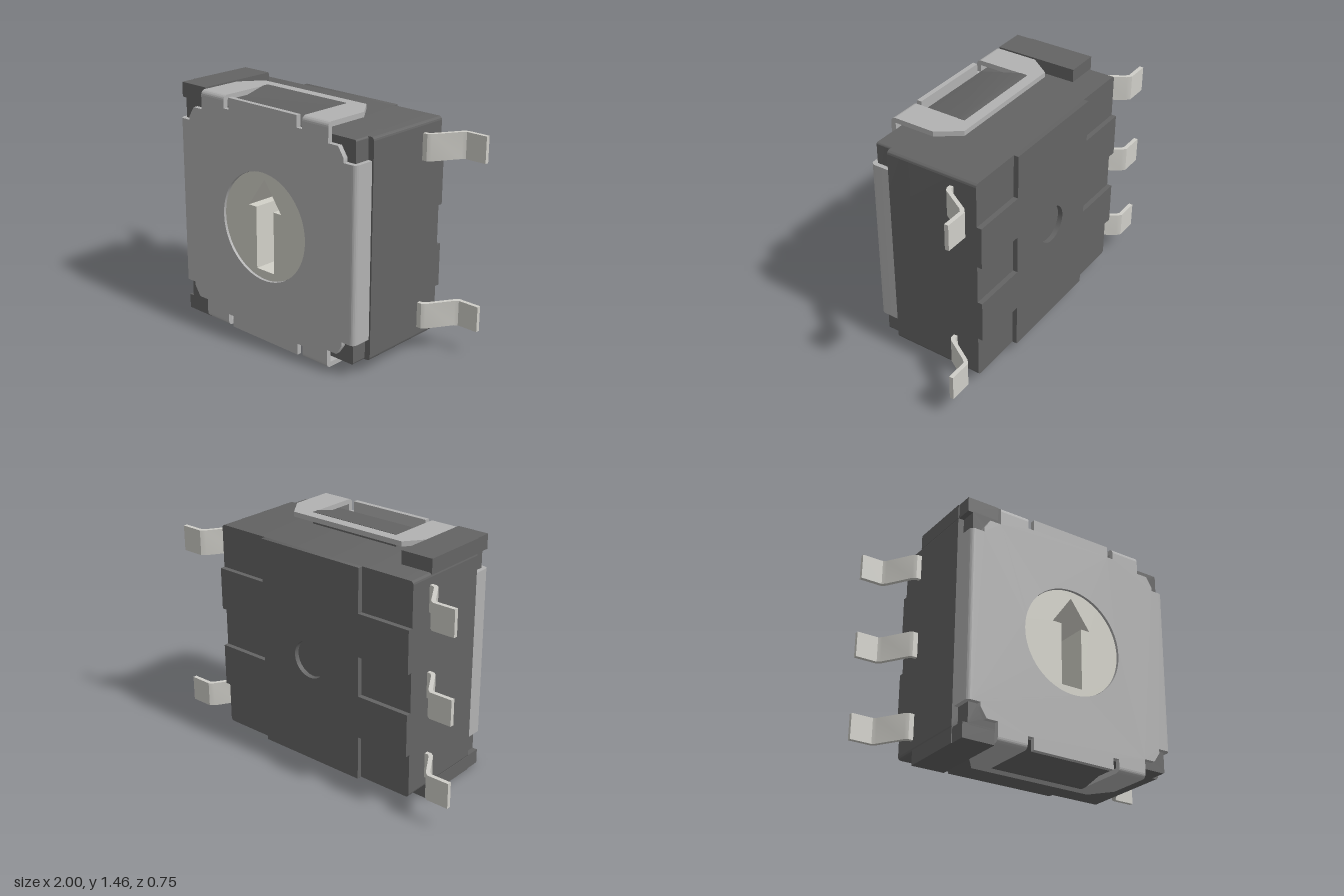
import * as THREE from 'three';
import { toCreasedNormals } from 'three/addons/utils/BufferGeometryUtils.js';

const CY = 0.73; // height of the rotor axis; every part is modelled around it
const mat = (color) => new THREE.MeshStandardMaterial({ color });
const X = new THREE.Vector3(1, 0, 0), Y = new THREE.Vector3(0, 1, 0), Z = new THREE.Vector3(0, 0, 1);
const shapeOf = (pts) => new THREE.Shape(pts.map(([a, b]) => new THREE.Vector2(a, b)));

// Extrudes a shape along +z, then maps its local axes onto the given ones
function extrude(name, shape, depth, material, axes = [X, Y, Z], pos = [0, 0, 0]) {
  const raw = new THREE.ExtrudeGeometry(shape, { depth, bevelEnabled: false, curveSegments: 32 });
  raw.applyMatrix4(new THREE.Matrix4().makeBasis(...axes));
  const mesh = new THREE.Mesh(toCreasedNormals(raw, 0.6), material);
  mesh.name = name;
  mesh.position.set(...pos);
  return mesh;
}

// Box from its limits
function box(name, x0, x1, y0, y1, z0, z1, material) {
  const mesh = new THREE.Mesh(new THREE.BoxGeometry(x1 - x0, y1 - y0, z1 - z0), material);
  mesh.name = name;
  mesh.position.set((x0 + x1) / 2, (y0 + y1) / 2, (z0 + z1) / 2);
  return mesh;
}

// Rectangle with small rounded corners, optionally with a round hole
function roundedRect(w, h, r, hole = 0) {
  const s = new THREE.Shape();
  s.absarc(w - r, h - r, r, 0, Math.PI / 2);
  s.absarc(-w + r, h - r, r, Math.PI / 2, Math.PI);
  s.absarc(-w + r, -h + r, r, Math.PI, Math.PI * 1.5);
  s.absarc(w - r, -h + r, r, Math.PI * 1.5, Math.PI * 2);
  if (hole) s.holes.push(new THREE.Path().absarc(0, 0, hole, 0, Math.PI * 2, true));
  return s;
}

// Folded sheet edge: a quarter-round bend followed by a straight leg back to z = back
function bend(back) {
  const s = new THREE.Shape();
  s.moveTo(0, 0.375);
  s.absarc(0, 0.345, 0.03, Math.PI / 2, 0, true);
  s.lineTo(0.03, back);
  s.lineTo(0, back);
  return s;
}

function createBody(dark) {
  const g = new THREE.Group();
  g.name = 'housing';
  const downY = Y.clone().negate();
  g.add(extrude('housingCore', roundedRect(0.705, 0.65, 0.02), 0.435, dark, undefined, [0, 0, -0.335]));
  g.add(extrude('housingSocket', roundedRect(0.705, 0.65, 0.02, 0.33), 0.145, dark, undefined, [0, 0, 0.1]));
  g.add(extrude('housingFront', roundedRect(0.668, 0.65, 0.01, 0.33), 0.1, dark, undefined, [0, 0, 0.245]));
  // Raised back: centre strip with a round dimple, and pads between the pockets
  g.add(extrude('backStrip', roundedRect(0.36, 0.65, 0.002, 0.115), 0.03, dark, undefined, [0, 0, -0.365]));
  for (const sx of [-1, 1]) {
    for (const y of [0.255, -0.2475]) {
      const [a, b] = [0.36 * sx, 0.705 * sx].sort((p, q) => p - q);
      g.add(box('backPad', a, b, y - 0.13, y + 0.13, -0.365, -0.335, dark));
    }
  }
  for (const sy of [-1, 1]) {
    // Corner posts on one side
    const [a, b] = [0.64 * sy, 0.73 * sy].sort((p, q) => p - q);
    g.add(box('cornerPost', -0.705, -0.5, a, b, -0.175, 0.245, dark));
    g.add(box('cornerPostFront', -0.7, -0.5, a, b, 0.245, 0.345, dark));
    // Ramped catch that snaps into the cover window
    const catchShape = shapeOf([[0.65, 0.345], [0.65, 0.02], [0.722, 0.02], [0.722, 0.06]]);
    const half = new THREE.Group();
    half.name = 'catch';
    half.add(extrude('catchRamp', catchShape, 0.62, dark, [Y, Z, X], [-0.31, 0, 0]));
    if (sy < 0) half.rotation.z = Math.PI;
    g.add(half);
  }
  return g;
}

function createCover(metal) {
  const g = new THREE.Group();
  g.name = 'cover';
  // One quarter of the plate outline, mirrored into the rest
  const q = [[0.665, 0.52], [0.61, 0.52], [0.61, 0.545], [0.57, 0.605], [0.5, 0.605],
    [0.5, 0.69], [0.31, 0.69], [0.31, 0.645], [0.27, 0.645], [0.27, 0.715]];
  const flip = (sx, sy) => q.map(([x, y]) => [x * sx, y * sy]);
  const plate = shapeOf([...q, ...flip(-1, 1).reverse(), ...flip(-1, -1), ...flip(1, -1).reverse()]);
  plate.holes.push(new THREE.Path().absarc(0, 0, 0.33, 0, Math.PI * 2, true));
  g.add(extrude('coverPlate', plate, 0.03, metal, undefined, [0, 0, 0.345]));

  const down = Y.clone().negate();
  for (const turn of [0, Math.PI]) {
    const half = new THREE.Group();
    half.name = 'coverFolds';
    half.rotation.z = turn;
    half.add(extrude('sideFlange', bend(0.245), 1.04, metal, [X, Z, down], [0.665, 0.52, 0]));
    for (const x of [-0.5, 0.31])
      half.add(extrude('clipBend', bend(0.345), 0.19, metal, [Y, Z, X], [x, 0.69, 0]));
    // Clip frame with an open window for the catch
    const clip = shapeOf([[0.5, 0.345], [0.5, 0.09], [0.4, -0.045], [-0.4, -0.045], [-0.5, 0.09],
      [-0.5, 0.345], [-0.31, 0.345], [-0.31, 0.02], [0.31, 0.02], [0.31, 0.345]]);
    half.add(extrude('clipFrame', clip, 0.03, metal, [X, Z, down], [0, 0.72, 0]));
    g.add(half);
  }
  return g;
}

function createRotor(ivory) {
  const g = new THREE.Group();
  g.name = 'rotor';
  // Disc with a deep arrow-shaped driver slot
  const disc = new THREE.Shape().absarc(0, 0, 0.328, 0, Math.PI * 2);
  disc.holes.push(shapeOf([[0, 0.285], [-0.13, 0.105], [-0.07, 0.105], [-0.07, -0.275],
    [0.07, -0.275], [0.07, 0.105], [0.13, 0.105]]));
  g.add(extrude('rotorDisc', disc, 0.25, ivory, undefined, [0, 0, 0.11]));
  const floor = new THREE.Mesh(new THREE.CircleGeometry(0.328, 48), ivory);
  floor.name = 'slotFloor';
  floor.position.z = 0.112;
  g.add(floor);
  return g;
}

// Gull-wing lead: leaves the side, slopes back, ends in a flat foot
function createLead(metal, side, y) {
  const g = new THREE.Group();
  g.name = 'lead';
  const profile = shapeOf([[0.69, -0.192], [0.69, -0.168], [0.735, -0.168], [0.755, -0.182], [0.85, -0.335],
    [0.868, -0.35], [1, -0.35], [1, -0.375], [0.86, -0.375], [0.835, -0.355], [0.742, -0.205], [0.725, -0.192]]);
  g.add(extrude('leadStrip', profile, 0.156, metal, [X, Z, Y.clone().negate()], [0, 0.078, 0]));
  g.position.y = y;
  if (side < 0) g.rotation.z = Math.PI;
  return g;
}

export function createModel() {
  const model = new THREE.Group();
  model.name = 'rotarySwitch';
  const parts = new THREE.Group();
  parts.name = 'switchParts';
  parts.position.y = CY;
  model.add(parts);

  const tin = mat(0xcfcec8);
  parts.add(createBody(mat(0x646464)), createCover(mat(0xb2b2b2)), createRotor(mat(0xd2d1c8)));
  for (const [side, y] of [[1, 0.51], [1, -0.505], [-1, 0.51], [-1, 0], [-1, -0.505]])
    parts.add(createLead(tin, side, y));
  return model;
}
